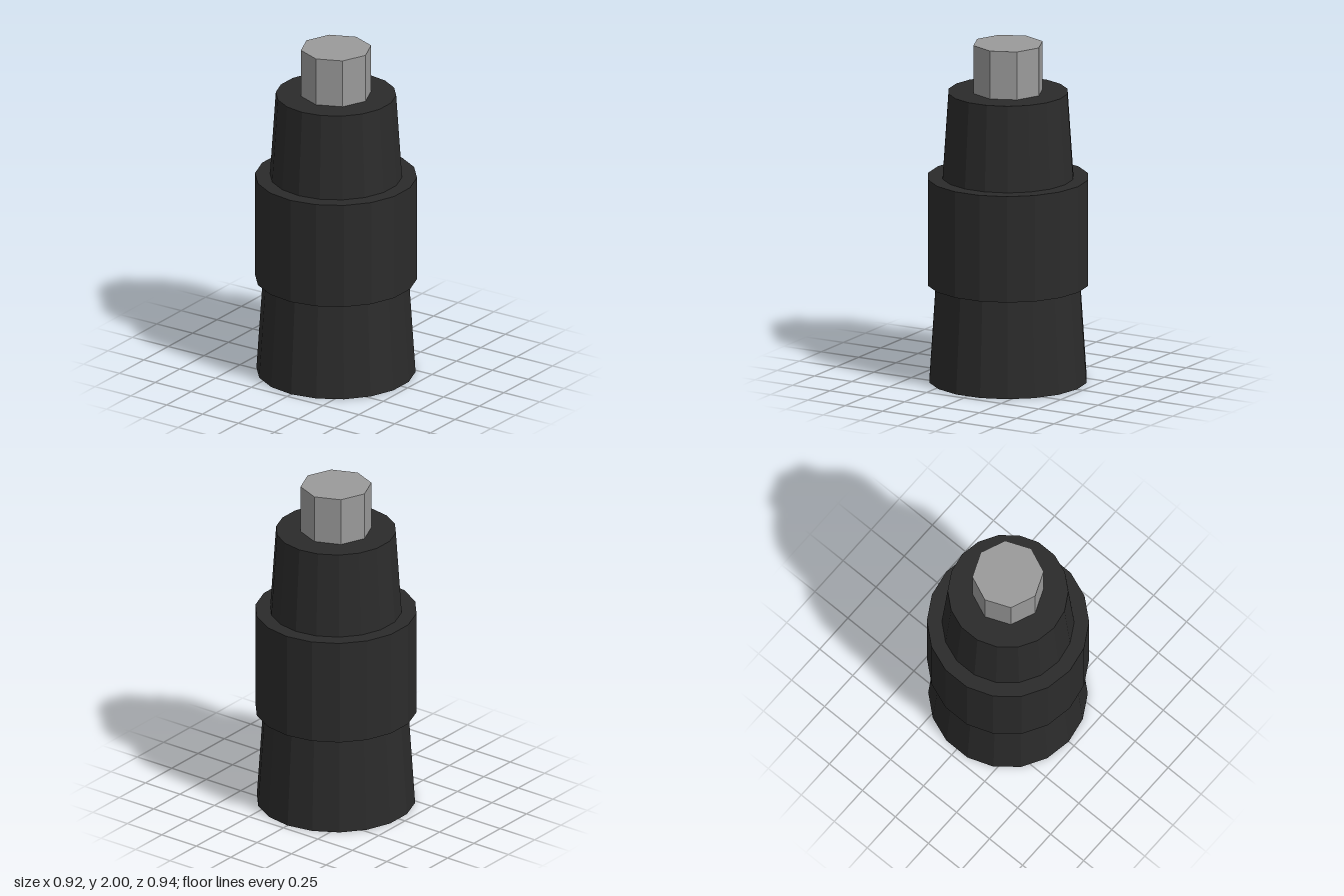
import * as THREE from 'three';

export function createModel() {
  const group = new THREE.Group();
  const black = new THREE.MeshStandardMaterial({ name: 'black', color: 0x2b2b2b, flatShading: true });
  const grey = new THREE.MeshStandardMaterial({ name: 'grey', color: 0x9a9a9a, flatShading: true });

  // one stacked, straight or tapered section with a corner facing +z
  const section = (name, rTop, rBottom, y0, y1, sides, material) => {
    const mesh = new THREE.Mesh(new THREE.CylinderGeometry(rTop, rBottom, y1 - y0, sides), material);
    mesh.name = name;
    mesh.position.y = (y0 + y1) / 2;
    group.add(mesh);
  };

  section('lowerBody', 0.422, 0.46, 0, 0.577, 18, black);
  section('collar', 0.468, 0.468, 0.577, 1.208, 18, black);
  section('upperBody', 0.348, 0.382, 1.208, 1.715, 18, black);
  section('octagonalStub', 0.206, 0.206, 1.715, 2, 8, grey);

  return group;
}
